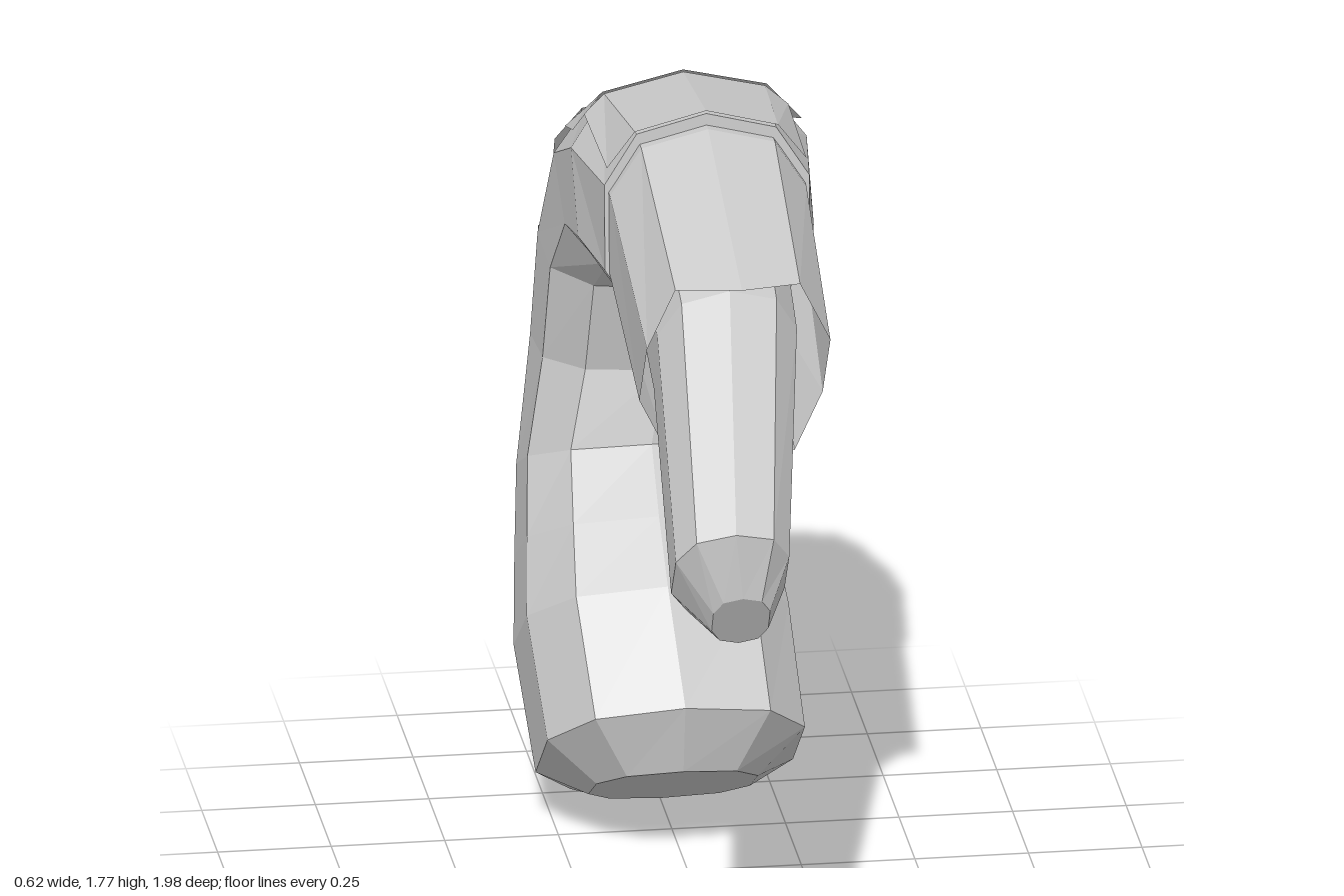
import * as THREE from 'three';

const SIDES = 10;
const material = new THREE.MeshStandardMaterial({ color: 0xcccccc, flatShading: true, side: THREE.DoubleSide });

// Cross-sections: [inner z, inner y, outer z, outer y, min x, max x]
const BODY = [
  [-0.03, 0.22, -0.36, 0.03, -0.19, 0.18],
  [0.0, 0.38, -0.48, 0.0, -0.3, 0.29],
  [-0.17, 0.6, -0.7, 0.22, -0.32, 0.28],
  [-0.31, 0.71, -0.82, 0.4, -0.3, 0.26],
  [-0.46, 0.82, -0.91, 0.6, -0.28, 0.25],
  [-0.49, 0.98, -0.99, 0.93, -0.24, 0.27],
  [-0.44, 1.19, -0.95, 1.2, -0.23, 0.29],
  [-0.3, 1.28, -0.75, 1.53, -0.22, 0.31],
  [-0.14, 1.28, -0.43, 1.7, -0.22, 0.32],
  [0.0, 1.26, -0.03, 1.76, -0.19, 0.28],
];
const SLEEVE = [
  [-0.08, 1.28, -0.1, 1.73, -0.18, 0.27],
  [0.0, 1.26, 0.0, 1.735, -0.18, 0.27],
  [0.37, 1.11, 0.54, 1.59, -0.17, 0.25],
];
const TIP = [
  [0.15, 1.28, 0.3, 1.62, -0.14, 0.19],
  [0.38, 1.19, 0.52, 1.56, -0.14, 0.18],
  [0.79, 0.91, 0.98, 1.17, -0.16, 0.1],
  [0.91, 0.89, 0.98, 1.02, -0.08, 0.05],
];

// Point on a squarish oval section; angle 0 is the outer side of the curl
function sectionPoint([iz, iy, oz, oy, x0, x1], angle, scale = 1) {
  const soft = (v) => Math.sign(v) * Math.abs(v) ** 0.8 * scale;
  const c = soft(Math.cos(angle)), s = soft(Math.sin(angle));
  return new THREE.Vector3(
    (x0 + x1) / 2 + s * (x1 - x0) / 2,
    (iy + oy) / 2 + c * (oy - iy) / 2,
    (iz + oz) / 2 + c * (oz - iz) / 2,
  );
}

const fullRing = (section) =>
  Array.from({ length: SIDES }, (_, j) => sectionPoint(section, (j / SIDES) * Math.PI * 2));

// Skin a list of equal-length rings, with optional end caps
function loft(name, rings, { closed = true, capStart = false, capEnd = false } = {}) {
  const n = rings[0].length;
  const points = rings.flat();
  const index = [];
  for (let i = 0; i < rings.length - 1; i++) {
    for (let j = 0; j < (closed ? n : n - 1); j++) {
      const a = i * n + j, b = i * n + (j + 1) % n;
      index.push(a, a + n, b, b, a + n, b + n);
    }
  }
  const cap = (start, flip) => {
    const center = new THREE.Vector3();
    for (let j = 0; j < n; j++) center.addScaledVector(points[start + j], 1 / n);
    const k = points.push(center) - 1;
    for (let j = 0; j < n; j++) {
      const a = start + j, b = start + (j + 1) % n;
      index.push(k, flip ? b : a, flip ? a : b);
    }
  };
  if (capStart) cap(0, false);
  if (capEnd) cap((rings.length - 1) * n, true);
  const geometry = new THREE.BufferGeometry().setFromPoints(points);
  geometry.setIndex(index);
  geometry.computeVertexNormals();
  const mesh = new THREE.Mesh(geometry, material);
  mesh.name = name;
  return mesh;
}

export function createModel() {
  const group = new THREE.Group();
  group.name = 'curledTail';

  // Curled main body with a blunt base
  group.add(loft('body', BODY.map(fullRing), { capStart: true, capEnd: true }));

  // Sleeve with a jagged open lip
  const sleeveRings = SLEEVE.map(fullRing);
  sleeveRings[2].forEach((p, j) => {
    const shift = j % 2 ? -0.025 : 0.03;
    p.z += shift;
    p.y -= shift * 0.35;
  });
  group.add(loft('sleeve', sleeveRings));

  // Tapered tip emerging from the sleeve
  group.add(loft('tip', TIP.map(fullRing), { capStart: true, capEnd: true }));

  // Overlapping plates along the outer side, each slightly flared at one end
  const plates = new THREE.Group();
  plates.name = 'backPlates';
  const step = (Math.PI * 2) / SIDES;
  for (let i = 2; i < BODY.length - 1; i++) {
    const arc = (section, scale, reach) =>
      [-reach, -1, 0, 1, reach].map((k) => sectionPoint(section, k * step, scale));
    plates.add(loft(`backPlate${i - 1}`,
      [arc(BODY[i], 1.005, 1.45), arc(BODY[i + 1], 1.025, 1.75)], { closed: false }));
  }
  group.add(plates);
  return group;
}
